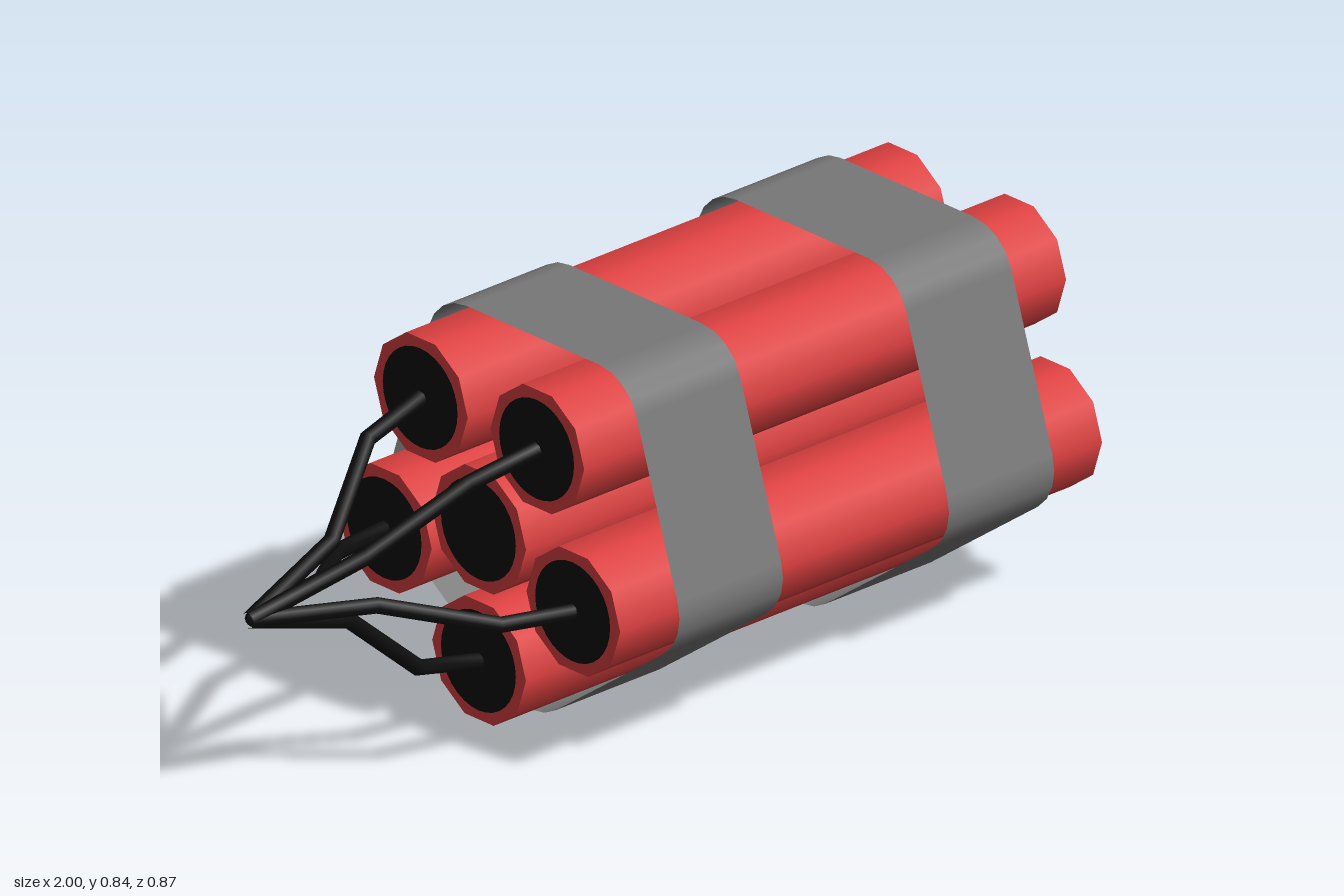
import * as THREE from 'three';

const CENTER_Y = 0.452, RING = 0.294;
const STICK_R = 0.139, X0 = -0.35, X1 = 1;

// Point at distance r from the bundle axis, angle measured from straight down
const around = (x, r, a) => new THREE.Vector3(x, CENTER_Y - r * Math.cos(a), r * Math.sin(a));

const named = (name, geometry, material) => {
  const mesh = new THREE.Mesh(geometry, material);
  mesh.name = name;
  return mesh;
};

// Open strap: a pentagon with rounded corners swept along x
function strapGeometry(xa, xb) {
  const perCorner = 5, n = perCorner * 5, ring = 0.335, bend = 0.117;
  const pos = [], nor = [], idx = [];
  for (let i = 0; i <= n; i++) {
    const k = i % n;
    const corner = Math.floor(k / perCorner) * Math.PI * 2 / 5;
    const a = corner + ((k % perCorner) / (perCorner - 1) - 0.5) * Math.PI * 2 / 5;
    const c = around(0, ring, corner);
    const ny = -Math.cos(a), nz = Math.sin(a);
    for (const x of [xa, xb]) {
      pos.push(x, c.y + ny * bend, c.z + nz * bend);
      nor.push(0, ny, nz);
    }
    if (i < n) {
      const j = i * 2;
      idx.push(j, j + 2, j + 1, j + 1, j + 2, j + 3);
    }
  }
  const g = new THREE.BufferGeometry();
  g.setAttribute('position', new THREE.Float32BufferAttribute(pos, 3));
  g.setAttribute('normal', new THREE.Float32BufferAttribute(nor, 3));
  // Wind the faces outward
  g.setIndex(idx.reverse());
  return g;
}

// Bent fuse: straight runs between four points, with mitred bends
function fuseGeometry(a) {
  const points = [[X0 - 0.002, 0.294], [-0.52, 0.256], [-0.715, 0.088], [-0.993, 0]]
    .map(([x, r]) => around(x, r, a));
  const curve = new THREE.CatmullRomCurve3(points, false, 'catmullrom', 0);
  curve.getUtoTmapping = (u) => u;
  return new THREE.TubeGeometry(curve, 3, 0.018, 8, false);
}

export function createModel() {
  const model = new THREE.Group();
  model.name = 'stickBundle';
  const red = new THREE.MeshStandardMaterial({ color: 0xdd4040 });
  red.name = 'red casing';
  const black = new THREE.MeshStandardMaterial({ color: 0x0d0d0d });
  black.name = 'black';
  const grey = new THREE.MeshStandardMaterial({ color: 0x777777, side: THREE.DoubleSide });
  grey.name = 'grey tape';

  // Ten-sided stick with a corner pointing up, and round end plates
  const body = new THREE.CylinderGeometry(STICK_R, STICK_R, X1 - X0, 10).rotateZ(-Math.PI / 2);
  const plate = new THREE.CircleGeometry(0.111, 32).rotateY(Math.PI / 2);
  const addStick = (name, r, a) => {
    const stick = new THREE.Group();
    stick.name = name;
    stick.position.copy(around((X0 + X1) / 2, r, a));
    stick.add(named('casing', body, red));
    for (const s of [1, -1]) {
      const end = named('endPlate', plate, black);
      end.position.x = s * ((X1 - X0) / 2 + 0.002);
      if (s < 0) end.rotation.y = Math.PI;
      stick.add(end);
    }
    model.add(stick);
  };

  addStick('centreStick', 0, 0);
  for (let i = 0; i < 5; i++) {
    const a = i * Math.PI * 2 / 5;
    addStick('outerStick', RING, a);
    model.add(named('fuse', fuseGeometry(a), black));
  }

  // Knot where the fuses meet
  const tip = named('fuseTip', new THREE.SphereGeometry(0.018, 8, 6), black);
  tip.position.set(-0.982, CENTER_Y, 0);
  model.add(tip);

  // Two straps around the bundle
  for (const [xa, xb] of [[-0.2, 0.09], [0.555, 0.85]]) {
    model.add(named('strap', strapGeometry(xa, xb), grey));
  }
  return model;
}
